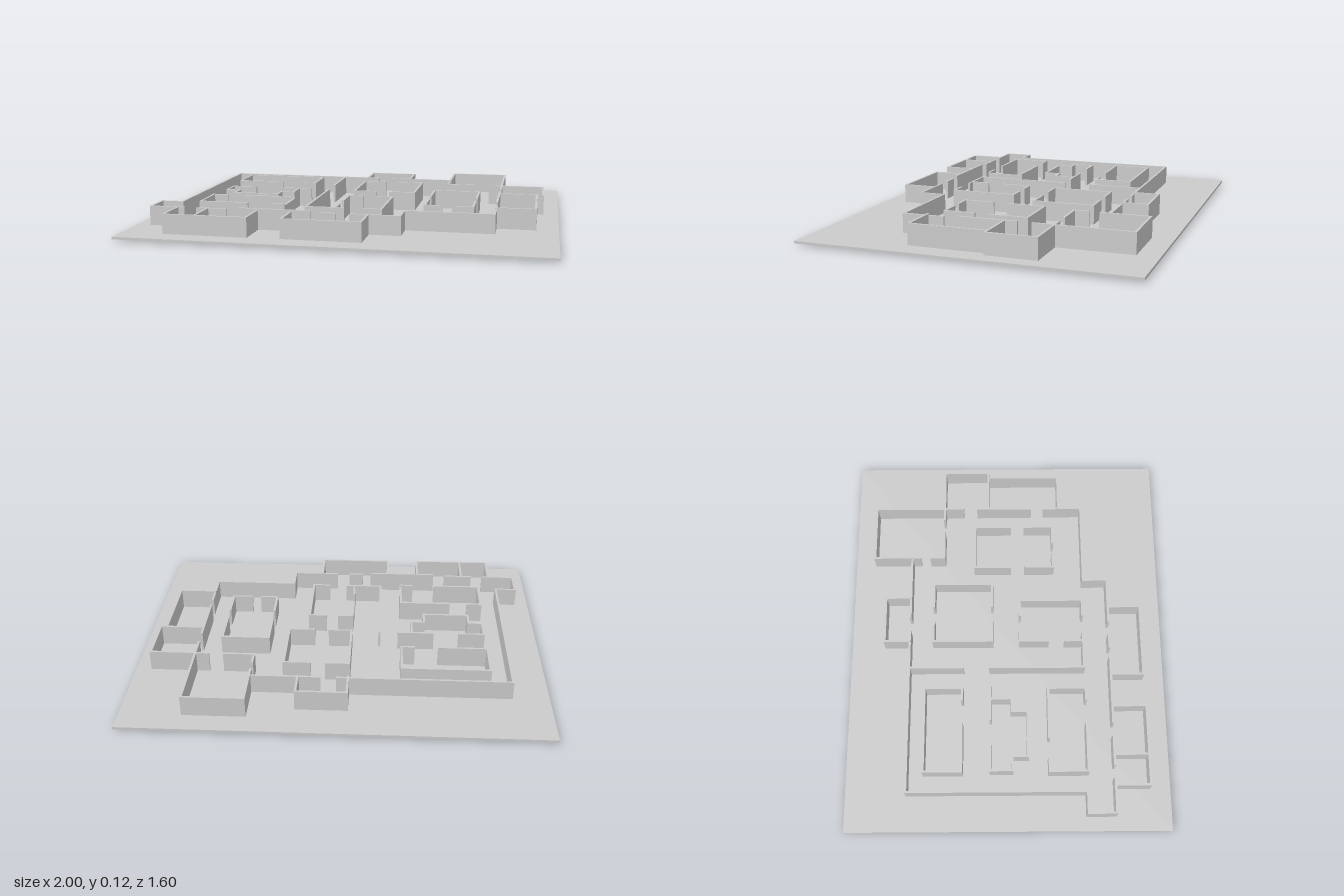
import * as THREE from 'three';

const material = new THREE.MeshStandardMaterial({ color: 0xcccccc, flatShading: true });
const T = 0.011;                      // wall thickness
const LOW = 0.115, TALL = 0.122;      // wall tops
const FLOOR = 0.012, SUNK = 0.002;    // wall bottoms

// Box wall between two plan points, running along x or z.
function wall(x1, z1, x2, z2, top, bottom) {
  const geo = new THREE.BoxGeometry(Math.abs(x2 - x1) + T, top - bottom, Math.abs(z2 - z1) + T);
  const mesh = new THREE.Mesh(geo, material);
  mesh.position.set((x1 + x2) / 2, (top + bottom) / 2, (z1 + z2) / 2);
  mesh.name = 'wall';
  return mesh;
}

// Group of walls; each run is a plan polyline x, z, x, z, ...
function walls(name, top, runs, bottom = FLOOR) {
  const group = new THREE.Group();
  group.name = name;
  for (const r of runs)
    for (let i = 0; i + 3 < r.length; i += 2)
      group.add(wall(r[i], r[i + 1], r[i + 2], r[i + 3], top, bottom));
  return group;
}

export function createModel() {
  const model = new THREE.Group();
  model.name = 'floorPlan';

  // Ground slab
  const slab = new THREE.Mesh(new THREE.BoxGeometry(2, 0.012, 1.6), material);
  slab.name = 'groundSlab';
  slab.position.y = 0.015;
  model.add(slab);

  model.add(
    // Outer shell
    walls('outerWalls', LOW, [
      [0, -0.495, -0.82, -0.495, -0.82, 0.387, -0.925, 0.387, -0.925, 0.523, -0.76, 0.523],
      [0.085, -0.495, 0.41, -0.495],
      [-0.69, 0.523, -0.55, 0.523],
      [-0.085, 0.523, -0.02, 0.523],
      [0.055, 0.523, 0.285, 0.523, 0.285, 0.4, 0.705, 0.4, 0.705, 0.205],
    ]),
    walls('frontDoorWall', TALL, [[-0.48, 0.523, -0.14, 0.523]]),

    // Rooms projecting at the front
    walls('frontRoomSides', LOW, [
      [-0.79, 0.523, -0.79, 0.693], [-0.64, 0.523, -0.64, 0.693],
      [-0.395, 0.523, -0.395, 0.693],
      [-0.23, 0.523, -0.23, 0.687], [0.135, 0.523, 0.135, 0.687],
    ]),
    walls('frontRoomFaces', LOW, [
      [-0.79, 0.693, -0.395, 0.693], [-0.23, 0.687, 0.135, 0.687],
    ], 0),

    // Rooms projecting at the back and on the left
    walls('backRoom', TALL, [[-0.05, -0.495, -0.05, -0.623, 0.187, -0.623, 0.187, -0.495]]),
    walls('backCornerRoom', TALL, [
      [0.415, -0.455, 0.415, -0.69, 0.702, -0.69, 0.702, -0.23],
      [0.415, -0.395, 0.415, -0.327, 0.56, -0.327],
    ]),
    walls('sideRooms', TALL, [
      [0.64, -0.327, 0.92, -0.327, 0.92, -0.093, 0.705, -0.093],
      [0.89, -0.093, 0.89, 0.28, 0.705, 0.28],
      [0.702, -0.15, 0.702, 0.13],
    ]),

    // Long partition and the two middle rooms
    walls('partition', LOW, [
      [-0.192, -0.495, -0.192, -0.225],
      [-0.192, -0.085, -0.192, 0.39, -0.01, 0.39],
    ]),
    walls('middleBackRoom', LOW, [
      [0.06, -0.375, -0.05, -0.375, -0.05, -0.075, 0.06, -0.075],
      [0.14, -0.375, 0.265, -0.375, 0.265, -0.075, 0.14, -0.075],
    ]),
    walls('middleFrontRoom', LOW, [
      [0.02, 0.068, -0.05, 0.068, -0.05, 0.21],
      [-0.05, 0.3, -0.05, 0.39],
      [0.09, 0.068, 0.173, 0.068, 0.173, 0.39, 0.09, 0.39],
    ]),
    walls('squareRoom', LOW, [
      [0.362, 0.02, 0.362, -0.163, 0.595, -0.163, 0.595, 0.02],
      [0.362, 0.1, 0.362, 0.245, 0.445, 0.245],
      [0.595, 0.1, 0.595, 0.245, 0.5, 0.245],
    ]),

    // Three inner rooms on the other side
    walls('innerBackRoom', TALL, [
      [-0.487, -0.226, -0.723, -0.226, -0.723, -0.413, -0.302, -0.413, -0.302, -0.226, -0.362, -0.226],
    ]),
    walls('innerMiddleRoom', LOW, [
      [-0.595, -0.083, -0.717, -0.083, -0.717, 0.023, -0.65, 0.023],
      [-0.46, -0.083, -0.29, -0.083],
      [-0.355, -0.083, -0.355, 0.023, -0.415, 0.023],
    ]),
    walls('innerNook', LOW, [[-0.648, 0.023, -0.648, 0.1, -0.42, 0.1, -0.42, 0.023]], SUNK),
    walls('innerFrontRoom', TALL, [
      [-0.655, 0.205, -0.723, 0.205, -0.723, 0.393, -0.487, 0.393],
      [-0.555, 0.205, -0.302, 0.205],
      [-0.362, 0.393, -0.302, 0.393],
    ]),
    walls('innerFrontRoomSide', LOW, [[-0.302, 0.205, -0.302, 0.393]], SUNK),
  );
  return model;
}
